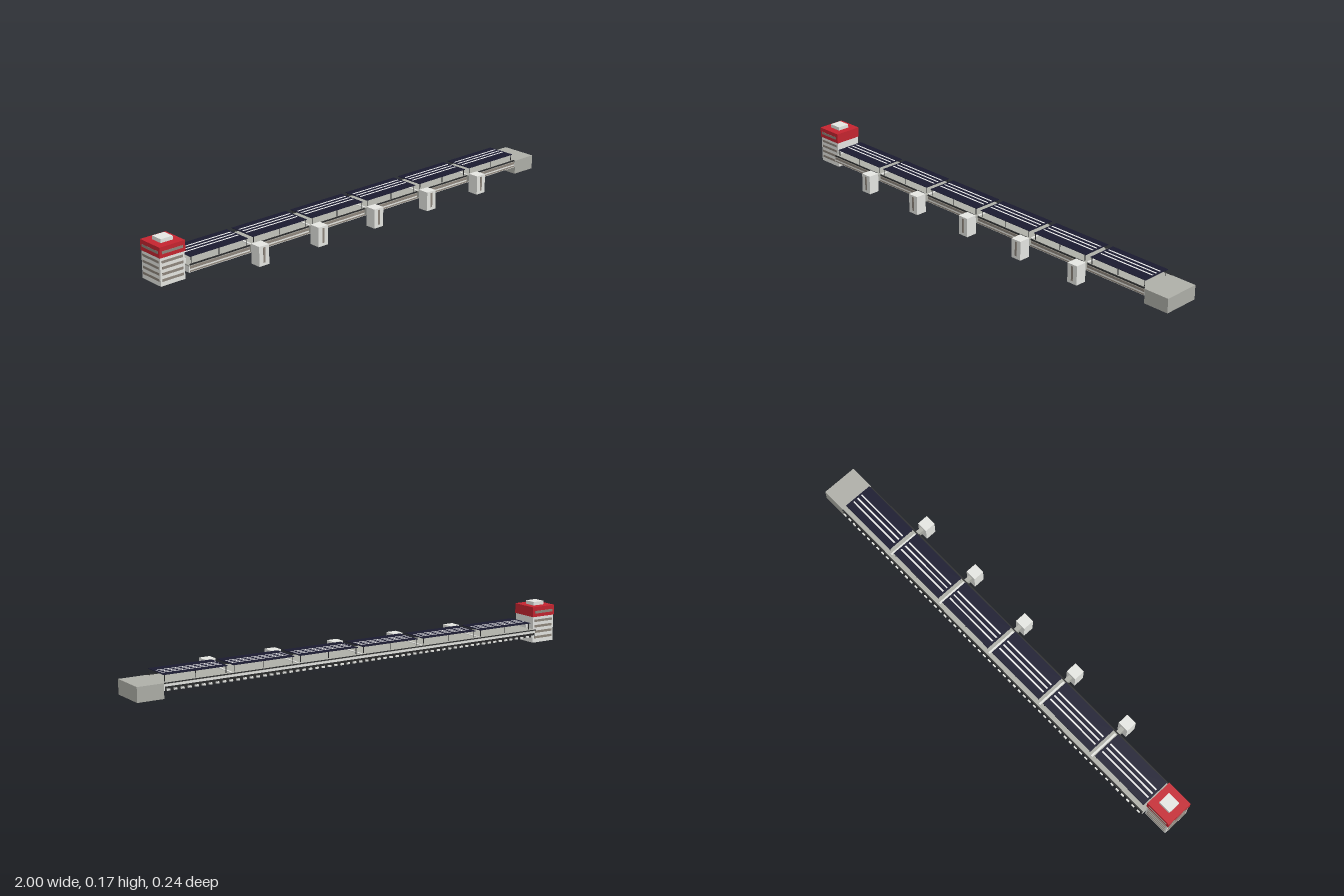
import * as THREE from 'three';

const mat = (name, color, side = THREE.FrontSide) => {
  const m = new THREE.MeshStandardMaterial({ color, side });
  m.name = name;
  return m;
};

export function createModel() {
  const light = mat('pale concrete', 0xe4e5e1, THREE.DoubleSide);
  const grey = mat('grey concrete', 0xaeafa8, THREE.DoubleSide);
  const red = mat('red cladding', 0xc4242f, THREE.DoubleSide);
  const glass = mat('window band', 0x8f877d);
  const dark = mat('dark metal', 0x2a2b2c);
  const navy = mat('solar cell', 0x1a1a30);
  const white = mat('panel strip', 0xffffff);

  const model = new THREE.Group();
  model.name = 'longTerminal';

  // Box given by its limits; an open box has no floor.
  const box = (parent, name, m, [x0, x1], [y0, y1], [z0, z1], open = false) => {
    const g = new THREE.BoxGeometry(x1 - x0, y1 - y0, z1 - z0);
    if (open) {
      const index = Array.from(g.index.array);
      index.splice(18, 6); // the downward face
      g.setIndex(index);
      g.clearGroups();
    }
    const mesh = new THREE.Mesh(g, m);
    mesh.name = name;
    mesh.position.set((x0 + x1) / 2, (y0 + y1) / 2, (z0 + z1) / 2);
    parent.add(mesh);
    return mesh;
  };
  const group = (name, parent = model) => {
    const g = new THREE.Group();
    g.name = name;
    parent.add(g);
    return g;
  };

  // Long raised hall with a grey roof and window bands along the front
  const hall = group('hall');
  box(hall, 'hallBody', light, [-0.885, 0.889], [0.03, 0.055], [-0.11, 0.043]);
  box(hall, 'hallRoof', grey, [-0.885, 0.889], [0.055, 0.06], [-0.11, 0.043]);
  box(hall, 'frontLowerWindows', glass, [-0.88, 0.885], [0.033, 0.038], [0.042, 0.045]);
  box(hall, 'frontUpperWindows', glass, [-0.88, 0.885], [0.045, 0.055], [0.042, 0.045]);
  box(hall, 'frontRoofTrim', dark, [-0.88, 0.885], [0.059, 0.063], [0.04, 0.046]);
  box(hall, 'backCanopy', dark, [-0.885, 0.889], [0.058, 0.061], [-0.115, -0.109]);

  // Loading bays along the back: a dark door band with pale docks
  const bays = group('loadingBays');
  box(bays, 'bayDoors', dark, [-0.88, 0.885], [0.0305, 0.046], [-0.112, -0.109]);
  for (let i = 0; i < 60; i++) {
    const x = -0.867 + (i * 1.74) / 59;
    box(bays, 'bayDock', light, [x - 0.007, x + 0.007], [0.031, 0.038], [-0.118, -0.1115]);
  }

  // Six solar racks on posts above the roof
  for (let r = 0; r < 6; r++) {
    const rack = group('solarRack');
    rack.position.x = -0.7345 + r * 0.296;
    const w = 0.136;
    box(rack, 'solarPanel', navy, [-w, w], [0.0865, 0.0885], [-0.095, 0.034]);
    for (const z of [-0.06, -0.038, -0.016])
      box(rack, 'panelStrip', white, [-0.128, 0.128], [0.088, 0.0892], [z - 0.0035, z + 0.0035]);
    for (const x of [-0.13, 0, 0.13])
      for (const z of [-0.09, 0.031])
        box(rack, 'rackPost', dark, [x - 0.001, x + 0.001], [0.06, 0.087], [z - 0.001, z + 0.001]);
    if (r < 5) // pale roof joint between racks
      box(rack, 'roofJoint', light, [0.144, 0.152], [0.06, 0.063], [-0.1, 0.035]);
  }

  // Five stair towers with bridges on the front
  for (let i = -2; i <= 2; i++) {
    const stair = group('stairTower');
    stair.position.x = 0.003 + i * 0.296;
    box(stair, 'stairShaft', light, [-0.024, 0.024], [0, 0.081], [0.071, 0.119], true);
    box(stair, 'stairWindow', glass, [-0.005, 0.005], [0.012, 0.074], [0.1191, 0.12]);
    box(stair, 'bridge', grey, [-0.009, 0.009], [0.038, 0.066], [0.044, 0.0709]);
  }

  // Low end block
  box(model, 'endBlock', grey, [0.889, 1], [0, 0.06], [-0.111, 0.046], true);

  // Office tower with window bands and a red crown
  const tower = group('officeTower');
  box(tower, 'towerBody', light, [-0.998, -0.887], [0, 0.112], [-0.093, 0.022], true);
  box(tower, 'towerCrown', red, [-1, -0.884], [0.112, 0.155], [-0.095, 0.025]);
  box(tower, 'roofHousing', light, [-0.969, -0.914], [0.155, 0.17], [-0.062, -0.009]);
  box(tower, 'towerLink', light, [-0.8869, -0.88], [0.06, 0.08], [-0.055, 0.02]);
  const band = (y0, y1, grow) => {
    box(tower, 'frontBand', glass, [-0.99, -0.895], [y0, y1], [0.0221, 0.024 + grow]);
    box(tower, 'backBand', glass, [-0.99, -0.895], [y0, y1], [-0.095 - grow, -0.0931]);
    box(tower, 'sideBand', glass, [-0.9995 - grow * 0.5, -0.9981], [y0, y1], [-0.086, 0.015]);
  };
  for (let i = 0; i < 4; i++) band(0.018 + i * 0.024, 0.028 + i * 0.024, 0);
  band(0.127, 0.138, 0.002);

  return model;
}
